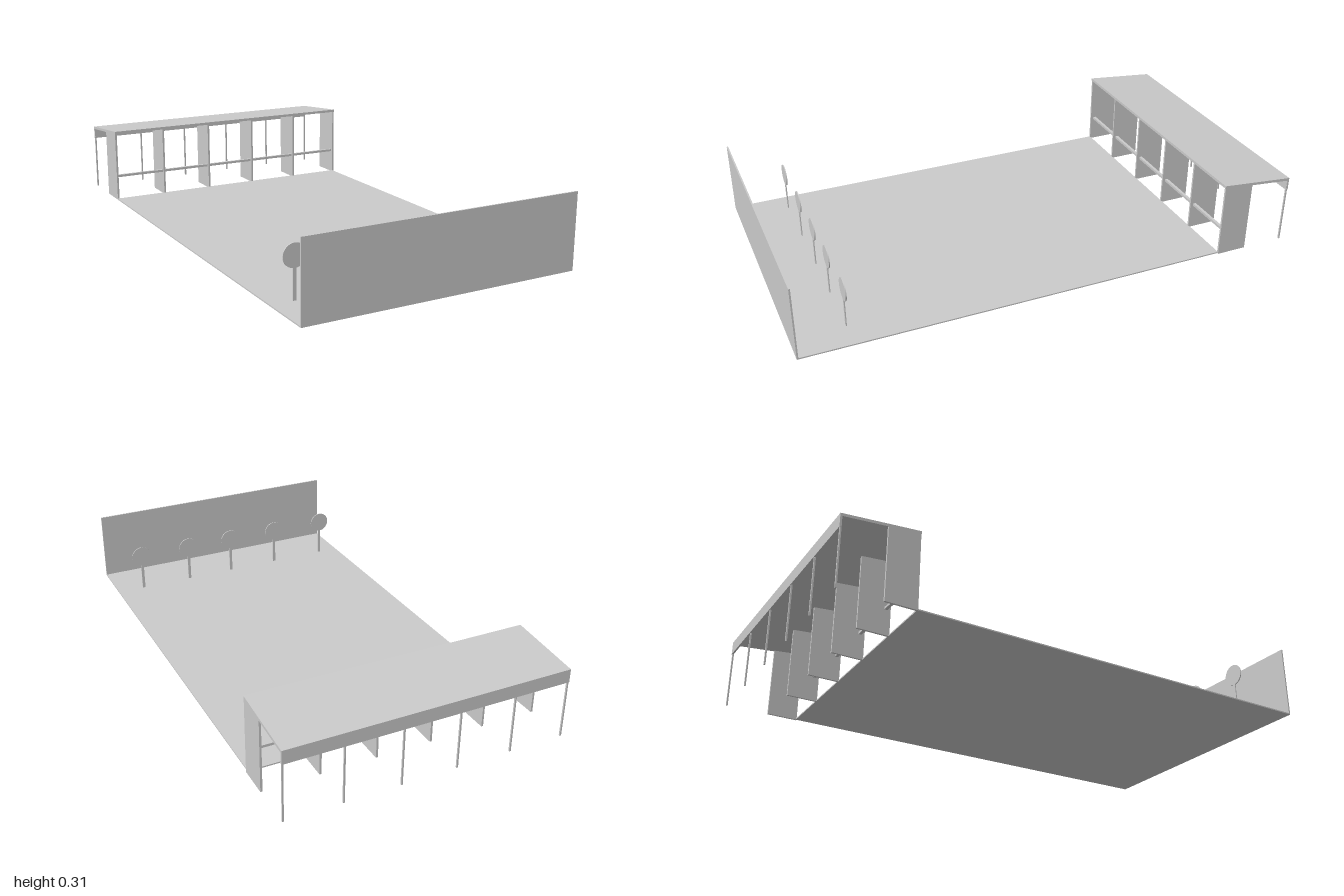
import * as THREE from 'three';

const material = new THREE.MeshStandardMaterial({ color: 0xcccccc, side: THREE.DoubleSide });

export function createModel() {
  const model = new THREE.Group();

  const add = (name, geometry, x, y, z, parent = model) => {
    const mesh = new THREE.Mesh(geometry, material);
    mesh.name = name;
    mesh.position.set(x, y, z);
    parent.add(mesh);
    return mesh;
  };
  // Box given by its lower and upper corners
  const box = (name, [x0, y0, z0], [x1, y1, z1], parent) =>
    add(name, new THREE.BoxGeometry(x1 - x0, y1 - y0, z1 - z0),
      (x0 + x1) / 2, (y0 + y1) / 2, (z0 + z1) / 2, parent);
  // Side profile of [z, y] points, extruded along x and centred on x
  const profile = (name, points, x, width, parent) => {
    const shape = new THREE.Shape(points.map(([z, y]) => new THREE.Vector2(-z, y)));
    const geometry = new THREE.ExtrudeGeometry(shape, { depth: width, bevelEnabled: false });
    geometry.translate(0, 0, -width / 2).rotateY(Math.PI / 2);
    return add(name, geometry, x, 0, 0, parent);
  };

  // Range floor and end wall
  box('floor', [-0.558, 0, -0.705], [0.552, 0.005, 1]);
  box('backstopWall', [-0.558, 0, 0.994], [0.552, 0.295, 1]);

  // Row of round targets on flat stakes
  [-0.468, -0.225, 0, 0.209, 0.434].forEach((x) => {
    const target = new THREE.Group();
    target.name = 'target';
    target.position.set(x, 0, 0.792);
    model.add(target);
    const disc = new THREE.CylinderGeometry(0.044, 0.044, 0.004, 32).rotateX(Math.PI / 2);
    add('targetDisc', disc, 0, 0.162, 0, target);
    box('targetStake', [-0.006, 0, -0.002], [0.006, 0.12, 0.002], target);
  });

  // Shelter: sloping roof with a hanging board along its rear edge
  const shelter = new THREE.Group();
  shelter.name = 'shelter';
  model.add(shelter);
  profile('roof', [[-0.7, 0.31], [-0.7, 0.299], [-1, 0.27], [-1, 0.281]], 0, 1.116, shelter);
  box('rearFascia', [-0.558, 0.228, -1], [0.558, 0.275, -0.993], shelter);

  // Booth dividers, each with a slim rear post
  for (let i = 0; i < 6; i++) {
    const x = -0.554 + i * 0.2216;
    profile('boothDivider',
      [[-0.702, 0], [-0.702, 0.3], [-0.825, 0.288], [-0.825, 0]], x, 0.008, shelter);
    box('rearPost', [x - 0.003, 0, -0.998], [x + 0.003, 0.275, -0.992], shelter);
  }

  // Rail running through all the booths
  box('boothRail', [-0.554, 0.1, -0.726], [0.554, 0.11, -0.714], shelter);

  return model;
}
